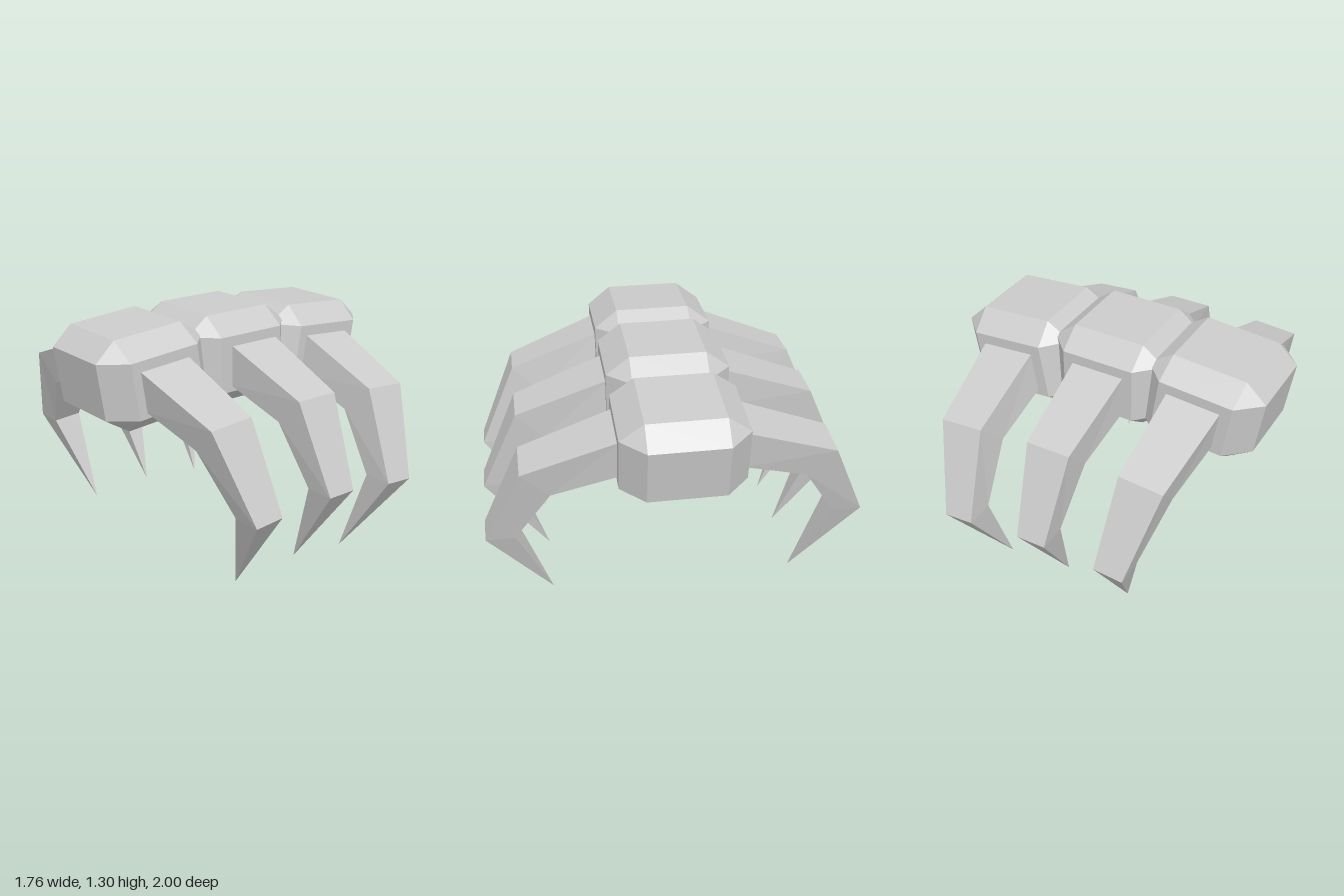
import * as THREE from 'three';
import { ConvexGeometry } from 'three/addons/geometries/ConvexGeometry.js';

const material = new THREE.MeshStandardMaterial({ color: 0xcccccc, flatShading: true });

// Box with every edge chamfered: h = outer half sizes, f = half sizes of the flat faces
function chamferedBox(h, f) {
  const points = [];
  for (const sx of [-1, 1]) for (const sy of [-1, 1]) for (const sz of [-1, 1]) {
    for (let axis = 0; axis < 3; axis++) {
      const p = f.map((v, i) => (i === axis ? h[i] : v));
      points.push(new THREE.Vector3(p[0] * sx, p[1] * sy, p[2] * sz));
    }
  }
  return new ConvexGeometry(points);
}

// Claw: four-sided sections from the root to a pointed tip
function claw() {
  // [half width, outer y, outer z, inner y, inner z]
  const rings = [
    [0.147, 0.1, 0.31, -0.117, 0.31],
    [0.12, -0.083, 0.8, -0.228, 0.655],
    [0.08, -0.538, 1.0, -0.538, 0.845],
  ].map(([w, oy, oz, iy, iz]) => [
    [-w, oy, oz], [w, oy, oz], [w, iy, iz], [-w, iy, iz],
  ]);
  const tip = [0, -1.015, 0.665];
  const positions = [];
  const triangle = (a, b, c) => positions.push(...a, ...b, ...c);
  for (let i = 0; i < 4; i++) {
    const j = (i + 1) % 4;
    for (let s = 0; s < 2; s++) {
      const a = rings[s][i], b = rings[s][j], c = rings[s + 1][j], d = rings[s + 1][i];
      triangle(a, d, c);
      triangle(a, c, b);
    }
    // Pointed end
    triangle(rings[2][i], tip, rings[2][j]);
  }
  // Root cap
  const [a, b, c, d] = rings[0];
  triangle(a, b, c);
  triangle(a, c, d);
  const geometry = new THREE.BufferGeometry();
  geometry.setAttribute('position', new THREE.Float32BufferAttribute(positions, 3));
  geometry.computeVertexNormals();
  return geometry;
}

export function createModel() {
  const model = new THREE.Group();
  model.name = 'clawedBody';

  // Each segment: centre, slope along x, lean along y, sideways shift of front and back claw
  const segments = [
    { name: 'right', x: -0.532, y: 1.045, slope: 0.077, lean: -0.155, front: -0.006, back: 0.004 },
    { name: 'middle', x: 0, y: 1.06, slope: 0, lean: 0, front: 0.02, back: 0 },
    { name: 'left', x: 0.532, y: 1.015, slope: -0.075, lean: 0.16, front: -0.004, back: 0.006 },
  ];

  for (const { name, x, y, slope, lean, front, back } of segments) {
    const segment = new THREE.Group();
    segment.name = name + 'Segment';
    const tilt = new THREE.Matrix4().set(
      1, lean, 0, x,
      slope, 1, 0, y,
      0, 0, 1, 0,
      0, 0, 0, 1,
    );
    const add = (partName, geometry) => {
      geometry.applyMatrix4(tilt);
      const mesh = new THREE.Mesh(geometry, material);
      mesh.name = partName;
      segment.add(mesh);
    };
    // Body block
    add('bodyBlock', chamferedBox([0.322, 0.243, 0.323], [0.2, 0.15, 0.2]));
    // One claw forward, one backward
    add('frontClaw', claw().translate(front, 0, 0));
    add('backClaw', claw().rotateY(Math.PI).translate(back, 0, 0));
    model.add(segment);
  }
  return model;
}
